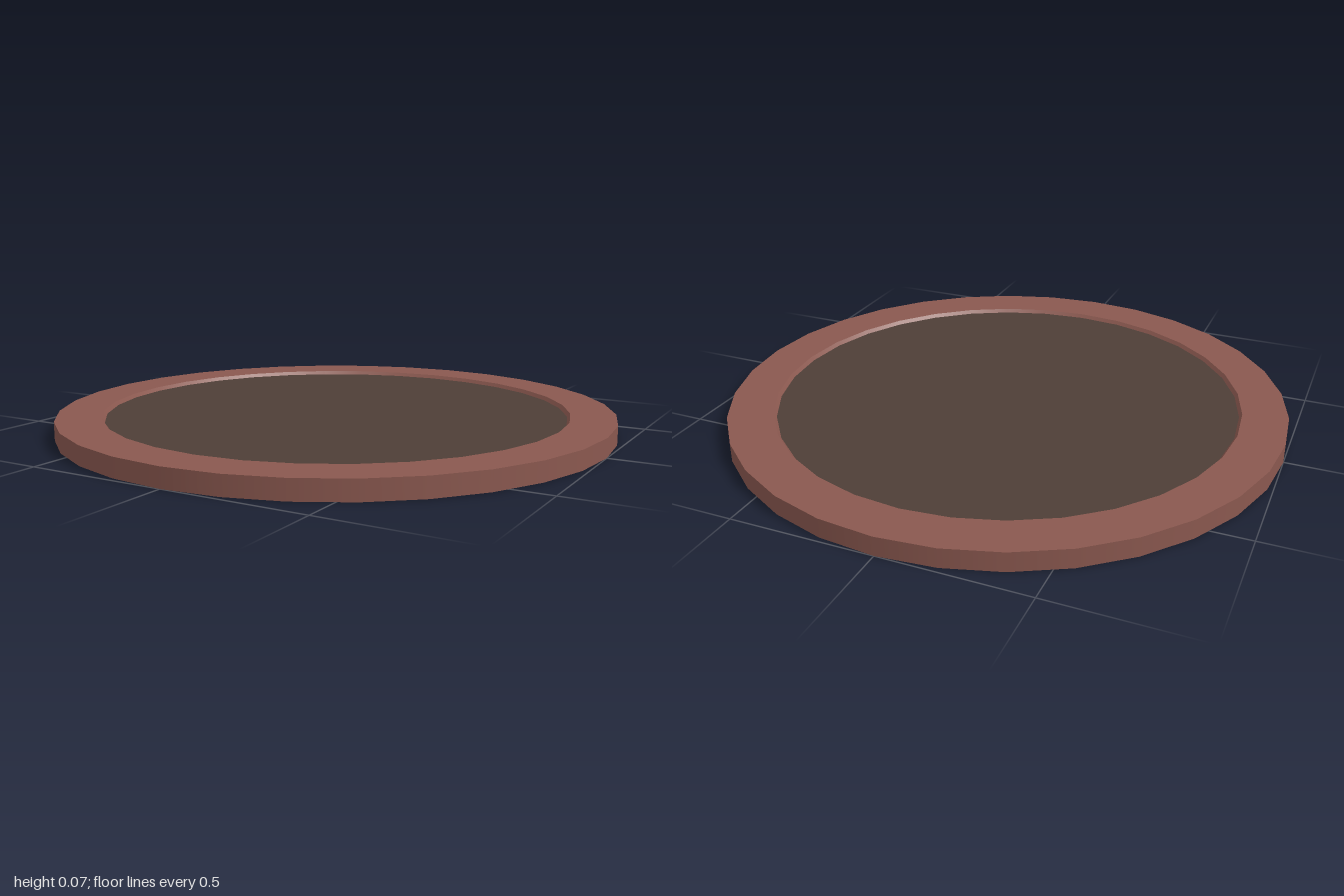
import * as THREE from 'three';

const SIDES = 32;
const HEIGHT = 0.067;      // top of the rim
const PANEL_Y = 0.054;     // slightly sunken panel
const RIM_INNER = 0.84;
const PANEL_RADIUS = 0.83;

// Revolve one straight profile segment; separate bands keep edges crisp.
function band(name, from, to, material) {
  const points = [new THREE.Vector2(...from), new THREE.Vector2(...to)];
  const mesh = new THREE.Mesh(new THREE.LatheGeometry(points, SIDES), material);
  mesh.name = name;
  return mesh;
}

export function createModel() {
  const rimBrown = new THREE.MeshStandardMaterial({ color: 0x8a584f, side: THREE.DoubleSide });
  rimBrown.name = 'reddish brown';
  const panelBrown = new THREE.MeshStandardMaterial({ color: 0x4e3e37, side: THREE.DoubleSide });
  panelBrown.name = 'dark brown';

  const group = new THREE.Group();
  group.name = 'roundTray';

  // Thin shell, open underneath: outer wall, flat rim and sloped inner lip
  group.add(
    band('outerWall', [1, 0], [1, HEIGHT], rimBrown),
    band('rimTop', [1, HEIGHT], [RIM_INNER, HEIGHT], rimBrown),
    band('innerLip', [RIM_INNER, HEIGHT], [PANEL_RADIUS, PANEL_Y], rimBrown)
  );

  // Sunken centre panel
  const panel = new THREE.Mesh(new THREE.CircleGeometry(PANEL_RADIUS, SIDES), panelBrown);
  panel.name = 'centrePanel';
  panel.rotation.x = -Math.PI / 2;
  panel.position.y = PANEL_Y;
  group.add(panel);

  return group;
}
